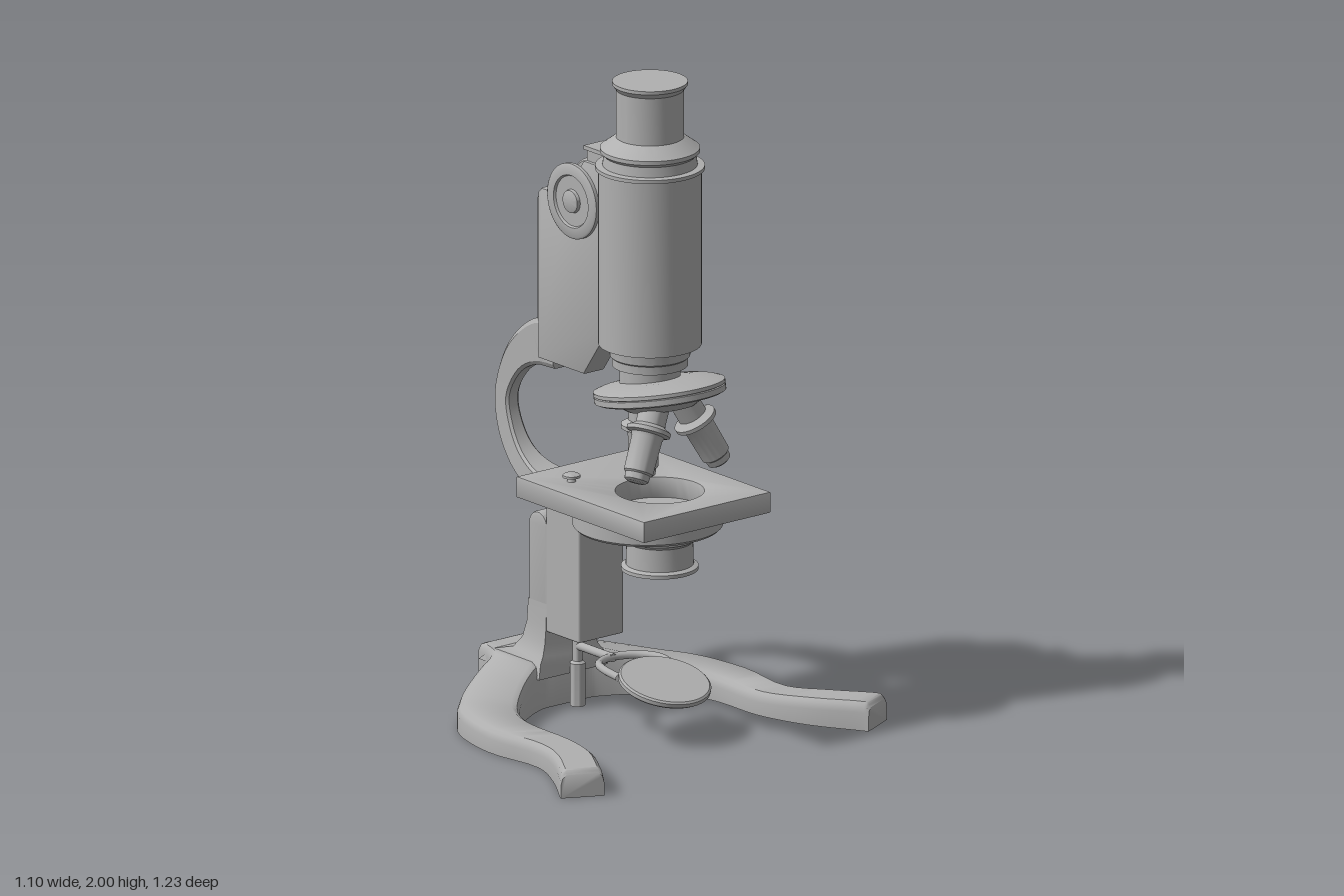
import * as THREE from 'three';
import { toCreasedNormals } from 'three/addons/utils/BufferGeometryUtils.js';
import { RoundedBoxGeometry } from 'three/addons/geometries/RoundedBoxGeometry.js';

const metal = new THREE.MeshStandardMaterial({ color: 0xb0b0b0 });
metal.name = 'grey metal';
const V = (x, y, z) => new THREE.Vector3(x, y, z);

function add(parent, name, geo, x = 0, y = 0, z = 0) {
  const mesh = new THREE.Mesh(geo, metal);
  mesh.name = name;
  mesh.position.set(x, y, z);
  parent.add(mesh);
  return mesh;
}

// Turned part from [radius, y] pairs, listed from bottom to top
function turned(profile, sides = 48) {
  const pts = profile.map(([r, y]) => new THREE.Vector2(r, y));
  return toCreasedNormals(new THREE.LatheGeometry(pts, sides), 0.6);
}

// Closed skin over equal-length rings, capped at both ends, faces outward
function loft(rings, crease = 0.5) {
  const tris = [];
  const n = rings[0].length;
  for (let i = 0; i < rings.length - 1; i++) {
    for (let j = 0; j < n; j++) {
      const k = (j + 1) % n;
      const [a, b, c, d] = [rings[i][j], rings[i][k], rings[i + 1][k], rings[i + 1][j]];
      tris.push([a, b, c], [a, c, d]);
    }
  }
  const last = rings[rings.length - 1];
  for (let j = 1; j < n - 1; j++) {
    tris.push([rings[0][0], rings[0][j + 1], rings[0][j]], [last[0], last[j], last[j + 1]]);
  }
  let volume = 0;
  for (const [a, b, c] of tris) volume += a.dot(new THREE.Vector3().crossVectors(b, c));
  const pts = tris.flatMap(([a, b, c]) => (volume < 0 ? [a, c, b] : [a, b, c]));
  const geo = new THREE.BufferGeometry().setFromPoints(pts);
  geo.computeVertexNormals();
  return toCreasedNormals(geo, crease);
}

const polygon = (points) => new THREE.Shape(points.map(([x, y]) => new THREE.Vector2(x, y)));

function extrude(shape, depth, bevel = 0.005) {
  const geo = new THREE.ExtrudeGeometry(shape, {
    depth: depth - 2 * bevel, bevelSize: bevel, bevelOffset: -bevel, bevelThickness: bevel, bevelSegments: 2, curveSegments: 24,
  });
  geo.translate(0, 0, bevel);
  return toCreasedNormals(geo, 0.5);
}

// Horseshoe base: [outer x, outer z, inner x, inner z, height] from heel to toe
function baseGeometry() {
  const half = [
    [-0.525, 0.05, -0.235, 0.04, 0.145], [-0.525, 0.095, -0.235, 0.085, 0.145],
    [-0.515, 0.11, -0.232, 0.1, 0.145], [-0.42, 0.145, -0.22, 0.13, 0.142],
    [-0.38, 0.225, -0.185, 0.195, 0.12], [-0.29, 0.365, -0.11, 0.285, 0.09],
    [-0.195, 0.445, -0.05, 0.325, 0.08], [0, 0.492, 0.04, 0.347, 0.073],
    [0.21, 0.475, 0.215, 0.353, 0.07], [0.345, 0.53, 0.38, 0.405, 0.08],
    [0.475, 0.611, 0.53, 0.493, 0.085], [0.487, 0.617, 0.545, 0.5, 0.07],
  ];
  const all = [...half.map(([a, b, c, d, h]) => [a, -b, c, -d, h]).reverse(), ...half];
  const curve = (f) => new THREE.CatmullRomCurve3(all.map(f));
  const outer = curve(([a, b]) => V(a, 0, b));
  const inner = curve(([, , c, d]) => V(c, 0, d));
  const height = curve((row, i) => V(i * 0.1, row[4], 0));
  const rings = [];
  const steps = (all.length - 1) * 4;
  for (let i = 0; i <= steps; i++) {
    const t = i / steps;
    const o = outer.getPoint(t), n = inner.getPoint(t), h = height.getPoint(t).y;
    const at = (s, y) => o.clone().lerp(n, s).setY(y);
    rings.push([at(0, 0), at(0, h - 0.03), at(0.04, h - 0.01), at(0.13, h),
      at(0.87, h), at(0.96, h - 0.01), at(1, h - 0.03), at(1, 0)]);
  }
  return loft(rings, 0.7);
}

// Curved arm: [outer x, outer y, inner x, inner y, half width]
function armGeometry() {
  const rows = [
    [-0.27, 1.16, -0.27, 1.02, 0.028], [-0.345, 1.16, -0.31, 1.018, 0.028],
    [-0.425, 1.115, -0.355, 1.013, 0.026], [-0.505, 1.025, -0.43, 0.975, 0.024],
    [-0.55, 0.885, -0.487, 0.885, 0.024], [-0.53, 0.77, -0.47, 0.805, 0.026],
    [-0.47, 0.685, -0.425, 0.74, 0.032], [-0.375, 0.633, -0.355, 0.702, 0.045],
    [-0.23, 0.617, -0.23, 0.687, 0.07], [-0.08, 0.625, -0.08, 0.69, 0.09], [0.05, 0.632, 0.05, 0.69, 0.13],
  ];
  const outer = new THREE.CatmullRomCurve3(rows.map(([a, b]) => V(a, b, 0)));
  const inner = new THREE.CatmullRomCurve3(rows.map(([, , c, d]) => V(c, d, 0)));
  const width = new THREE.CatmullRomCurve3(rows.map((r, i) => V(i * 0.1, r[4], 0)));
  const rings = [];
  for (let i = 0; i <= 50; i++) {
    const o = outer.getPoint(i / 50), n = inner.getPoint(i / 50), w = width.getPoint(i / 50).y;
    const at = (s, z) => o.clone().lerp(n, s).setZ(z);
    rings.push([at(0, -w + 0.008), at(0.1, -w), at(0.9, -w), at(1, -w + 0.008),
      at(1, w - 0.008), at(0.9, w), at(0.1, w), at(0, w - 0.008)]);
  }
  return loft(rings);
}

export function createModel() {
  const g = new THREE.Group();
  g.name = 'microscope';
  add(g, 'base', baseGeometry());

  // Flared foot of the post: [y, back x, front x, half depth]
  const flare = [[0.1, -0.49, -0.21, 0.13], [0.145, -0.43, -0.215, 0.12], [0.165, -0.36, -0.222, 0.105],
    [0.2, -0.332, -0.228, 0.093], [0.25, -0.319, -0.23, 0.087], [0.32, -0.315, -0.23, 0.085]];
  add(g, 'postFoot', loft(flare.map(([y, a, b, w]) => [V(a, y, -w), V(b, y, -w), V(b, y, w), V(a, y, w)])));

  // Round-topped post and the pillar in front of it
  const arch = new THREE.Shape();
  arch.moveTo(-0.315, 0.2);
  arch.lineTo(-0.23, 0.2);
  arch.lineTo(-0.23, 0.552);
  arch.absarc(-0.2725, 0.552, 0.0425, 0, Math.PI, false);
  add(g, 'post', extrude(arch, 0.17, 0.008), 0, 0, -0.085);
  add(g, 'pillar', new RoundedBoxGeometry(0.155, 0.44, 0.17, 2, 0.006), -0.157, 0.455, 0);
  add(g, 'arm', armGeometry());

  // Focus housing, back rail and rack slide
  const housing = polygon([[-0.325, 1.045], [-0.115, 1.045], [-0.005, 1.2], [0.02, 1.2],
    [0.02, 1.7], [-0.115, 1.7], [-0.2, 1.57], [-0.31, 1.57], [-0.325, 1.555]]);
  add(g, 'focusHousing', extrude(housing, 0.08), 0, 0, -0.04);
  add(g, 'backRail', new RoundedBoxGeometry(0.07, 0.44, 0.05, 2, 0.008), -0.315, 1.315, 0);
  add(g, 'rackSlide', new THREE.BoxGeometry(0.13, 0.55, 0.06), -0.045, 1.46, 0);
  add(g, 'slideCap', new THREE.BoxGeometry(0.135, 0.012, 0.074), -0.05, 1.74, 0);
  for (const s of [1, -1]) {
    const knob = add(g, 'focusKnob', turned([[0, 0], [0.108, 0], [0.114, 0.005], [0.114, 0.017], [0.108, 0.021],
      [0.08, 0.021], [0.076, 0.014], [0.036, 0.014], [0.034, 0.024], [0.028, 0.027], [0, 0.027]]), -0.155, 1.568, s * 0.034);
    knob.rotation.x = s * Math.PI / 2;
  }

  // Body tube with eyepiece
  add(g, 'bodyTube', turned([[0, 1.05], [0.09, 1.05], [0.09, 1.125], [0.112, 1.13], [0.112, 1.155], [0.118, 1.16],
    [0.122, 1.195], [0.152, 1.195], [0.152, 1.73], [0.161, 1.732], [0.161, 1.743], [0.14, 1.745], [0.136, 1.775],
    [0.147, 1.785], [0.147, 1.797], [0.135, 1.805], [0.108, 1.825], [0.1, 1.83], [0.1, 1.975], [0.111, 1.99],
    [0.111, 2], [0, 2]], 64), 0.145, 0, 0);

  // Tilted nosepiece with three objectives
  const nose = add(g, 'nosepiece', turned([[0, -0.05], [0.1, -0.05], [0.13, -0.03], [0.185, -0.02], [0.195, -0.015],
    [0.195, 0.002], [0.19, 0.004], [0.195, 0.006], [0.195, 0.017], [0.18, 0.022], [0.1, 0.035], [0, 0.035]], 64), 0.19, 1.06, 0);
  nose.rotation.z = 0.18;
  const objective = turned([[0, 0], [0.027, 0], [0.036, 0.006], [0.038, 0.025], [0.044, 0.03], [0.046, 0.135],
    [0.05, 0.145], [0.066, 0.15], [0.066, 0.162], [0.052, 0.17], [0.044, 0.175], [0.044, 0.27], [0, 0.27]], 32);
  const tips = [[V(0.114, 0.78, 0), V(0, 1, 0)],
    ...[1, -1].map((s) => [V(0.275, 0.83, s * 0.16), V(-0.18, 0.87, -s * 0.46).normalize()])];
  for (const [p, up] of tips) {
    add(g, 'objective', objective, p.x, p.y, p.z).quaternion.setFromUnitVectors(V(0, 1, 0), up);
  }

  // Stage plate with light hole, support disc and clip screws
  const plate = polygon([[-0.18, -0.24], [0.41, -0.24], [0.41, 0.24], [-0.18, 0.24]]);
  const hole = new THREE.Path();
  hole.absarc(0.19, 0, 0.13, 0, Math.PI * 2, true);
  plate.holes.push(hole);
  add(g, 'stage', extrude(plate, 0.065, 0.004), 0, 0.69, 0).rotation.x = -Math.PI / 2;
  add(g, 'stageSupport', turned([[0, 0.632], [0.213, 0.632], [0.221, 0.64], [0.221, 0.692], [0, 0.692]], 64), 0.135, 0, 0);
  for (const s of [1, -1]) {
    add(g, 'clipScrew', turned([[0.014, 0], [0.01, 0.012], [0.026, 0.015], [0.026, 0.022], [0.02, 0.026], [0, 0.026]], 24), -0.04, 0.753, s * 0.146);
  }
  add(g, 'condenser', turned([[0, 0.515], [0.114, 0.515], [0.114, 0.526], [0.1, 0.532], [0.098, 0.6], [0.104, 0.606],
    [0.115, 0.612], [0.115, 0.622], [0.122, 0.634], [0, 0.634]]), 0.19, 0, 0);

  // Mirror on its swinging fork
  add(g, 'mirrorStem', turned([[0, 0.005], [0.023, 0.005], [0.023, 0.135], [0.015, 0.142], [0.015, 0.215],
    [0.028, 0.22], [0.028, 0.24], [0, 0.24]], 24), -0.19, 0, 0);
  const bar = add(g, 'mirrorBar', new THREE.CylinderGeometry(0.013, 0.013, 0.17, 16), -0.11, 0.188, 0);
  bar.rotation.z = Math.PI / 2;
  const fork = new THREE.CatmullRomCurve3([V(0.13, 0.185, -0.105), V(0.06, 0.192, -0.103), V(-0.005, 0.19, -0.07),
    V(-0.035, 0.188, 0), V(-0.005, 0.19, 0.07), V(0.06, 0.192, 0.103), V(0.13, 0.185, 0.105)]);
  add(g, 'mirrorFork', new THREE.TubeGeometry(fork, 40, 0.012, 10));
  const mirror = add(g, 'mirror', turned([[0, -0.011], [0.132, -0.011], [0.138, -0.006], [0.138, 0.006],
    [0.132, 0.011], [0, 0.011]]), 0.213, 0.17, 0);
  mirror.rotation.z = -0.27;
  return g;
}
